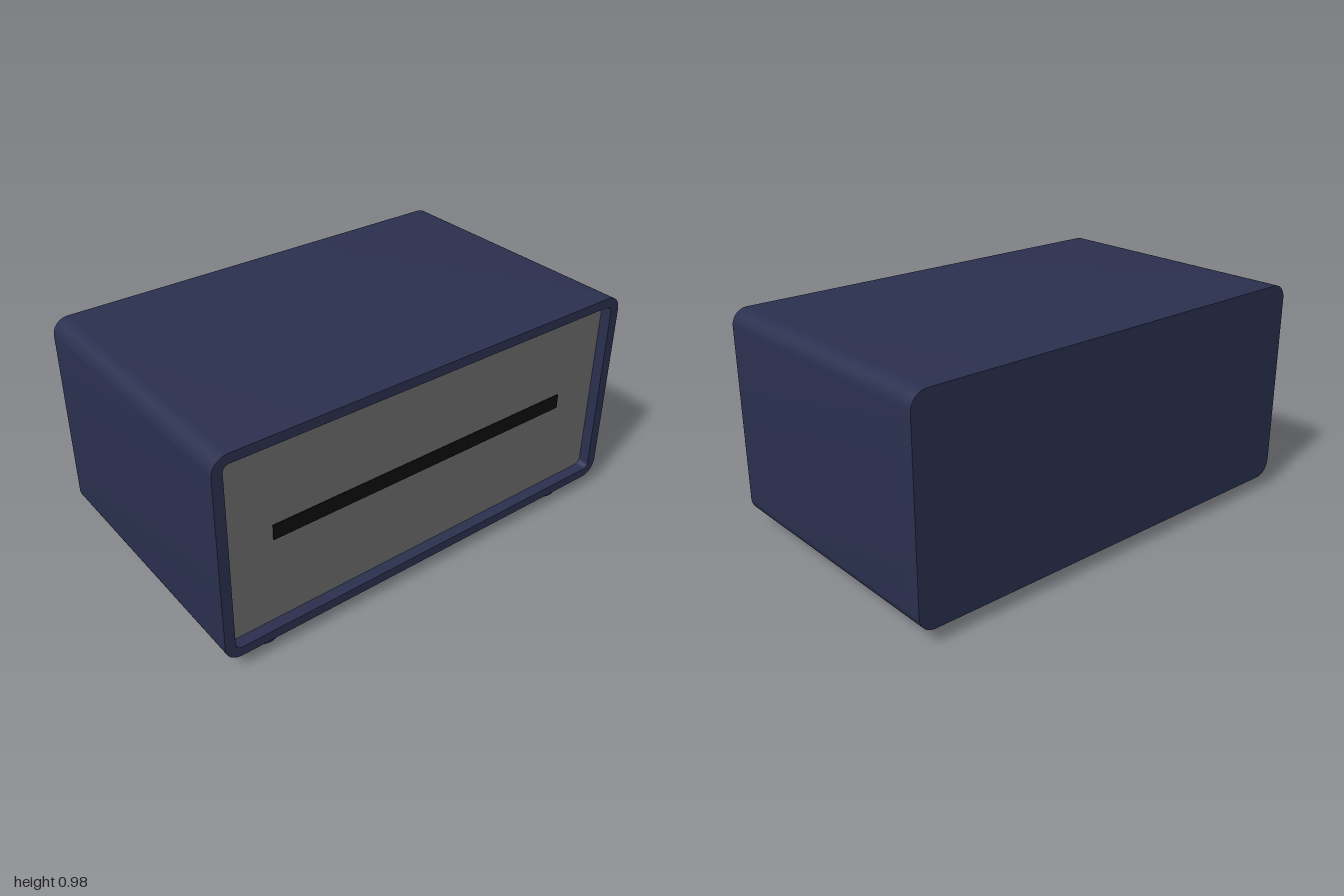
import * as THREE from 'three';
import { toCreasedNormals } from 'three/addons/utils/BufferGeometryUtils.js';

const navy = new THREE.MeshStandardMaterial({ color: 0x2b304f });
const grey = new THREE.MeshStandardMaterial({ color: 0x6a6a6a });
const black = new THREE.MeshStandardMaterial({ color: 0x0d0d0d });

const HALF_DEPTH = 0.61, CENTRE_Y = 0.5225;

// Rounded rectangle centred on the origin, added to a Shape or Path
function roundedRect(path, w, h, r) {
  const x = w / 2, y = h / 2, q = Math.PI / 2;
  path.moveTo(x, r - y);
  path.absarc(x - r, y - r, r, 0, q);
  path.absarc(r - x, y - r, r, q, 2 * q);
  path.absarc(r - x, r - y, r, 2 * q, 3 * q);
  path.absarc(x - r, r - y, r, 3 * q, 4 * q);
  return path;
}

const outer = () => roundedRect(new THREE.Shape(), 2, 0.915, 0.07);
const inner = (Type) => roundedRect(new Type(), 1.91, 0.832, 0.027);

// Extrudes a shape between two z positions
function slab(name, shape, z0, z1, material) {
  const geo = new THREE.ExtrudeGeometry(shape, { depth: z1 - z0, bevelEnabled: false, curveSegments: 5 });
  const mesh = new THREE.Mesh(toCreasedNormals(geo, 0.6), material);
  mesh.name = name;
  mesh.position.set(0, CENTRE_Y, z0);
  return mesh;
}

export function createModel() {
  const model = new THREE.Group();
  model.name = 'slottedBox';

  // Case: open-fronted shell with a closed back
  const shell = outer();
  shell.holes.push(inner(THREE.Path));
  const backZ = -HALF_DEPTH + 0.045;
  model.add(slab('caseShell', shell, backZ, HALF_DEPTH, navy));
  model.add(slab('caseBack', outer(), -HALF_DEPTH, backZ, navy));

  // Recessed front panel
  const panelZ = HALF_DEPTH - 0.05;
  model.add(slab('frontPanel', inner(THREE.Shape), panelZ - 0.03, panelZ, grey));

  // Dark slot across the panel
  const slot = new THREE.Mesh(new THREE.BoxGeometry(1.48, 0.067, 0.02), black);
  slot.name = 'slot';
  slot.position.set(0, 0.525, panelZ - 0.006);
  model.add(slot);

  // Four round feet
  const footGeo = new THREE.CylinderGeometry(0.069, 0.069, 0.07, 32);
  for (const side of [1, -1]) {
    for (const [end, z] of [['front', 0.492], ['back', -0.453]]) {
      const foot = new THREE.Mesh(footGeo, navy);
      foot.name = `${end}${side > 0 ? 'Left' : 'Right'}Foot`;
      foot.position.set(side * 0.773, 0.035, z);
      model.add(foot);
    }
  }
  return model;
}
